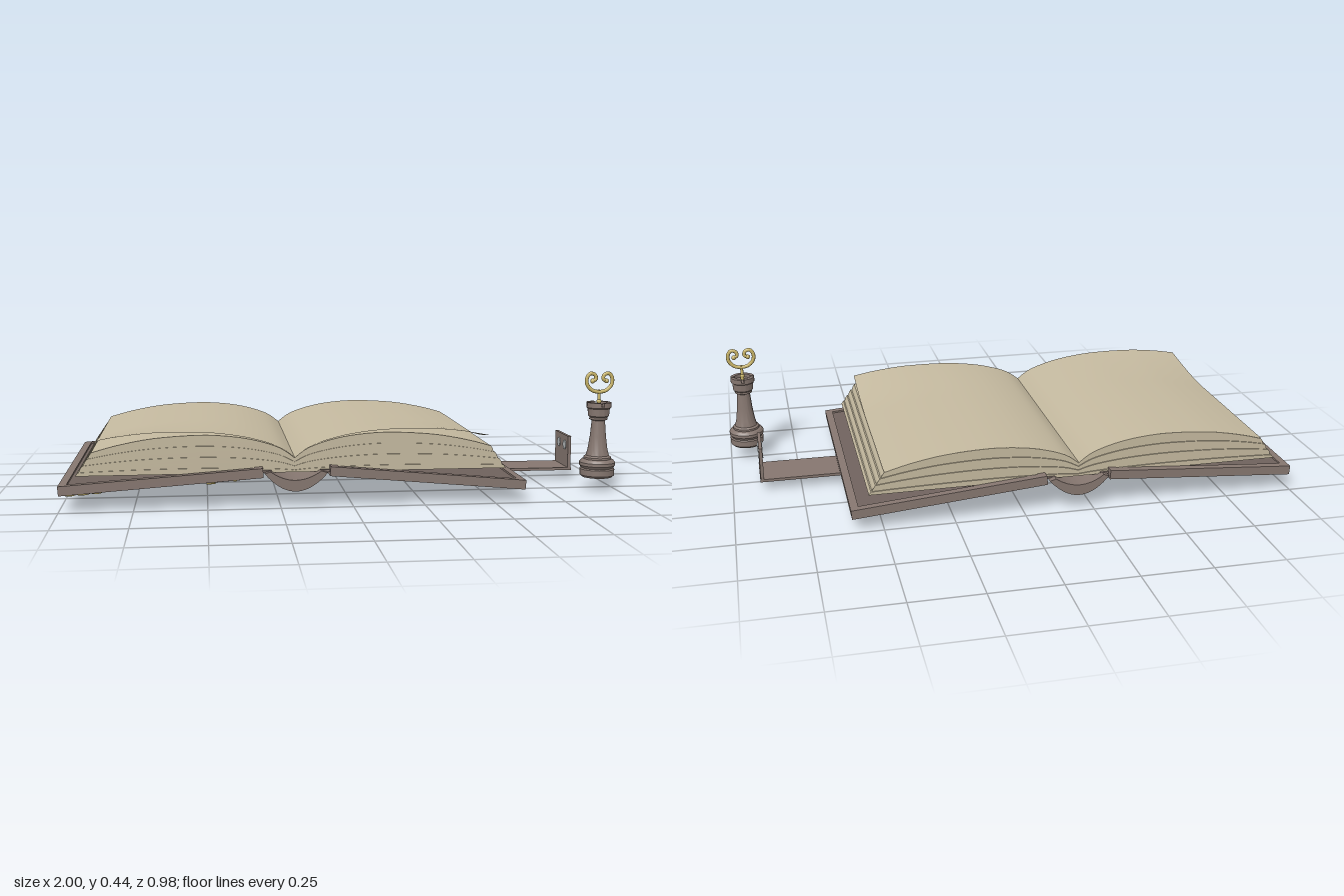
import * as THREE from 'three';
import { toCreasedNormals } from 'three/addons/utils/BufferGeometryUtils.js';

const mat = (color) => new THREE.MeshStandardMaterial({ color, side: THREE.DoubleSide });
const leather = mat(0x85766f), paper = mat(0xc4b99f), darkPanel = mat(0x6f625d);
const gold = mat(0xc8b468), steel = mat(0xb4b8ba), iron = mat(0x83878a);

function add(parent, name, geo, material, x = 0, y = 0, z = 0) {
  const m = new THREE.Mesh(geo, material);
  m.name = name;
  m.position.set(x, y, z);
  parent.add(m);
  return m;
}
const box = (w, h, d) => new THREE.BoxGeometry(w, h, d);
const v2 = (a) => a.map(([x, y]) => new THREE.Vector2(x, y));

// Flat shape laid in the xz plane, its thickness going down from y = 0
function slab(shape, depth) {
  return new THREE.ExtrudeGeometry(shape, { depth, bevelEnabled: false, curveSegments: 20 }).rotateX(Math.PI / 2);
}
function rect(Type, w, d) {
  return new Type(v2([[-w / 2, -d / 2], [w / 2, -d / 2], [w / 2, d / 2], [-w / 2, d / 2]]));
}
function frame(w, d, rim, depth) {
  const s = rect(THREE.Shape, w, d);
  s.holes.push(rect(THREE.Path, w - 2 * rim, d - 2 * rim));
  return slab(s, depth);
}

// Cover board: full-thickness rim around a sunken panel
const T = 0.033;
function cover(name, x, y, tilt, sunk) {
  const g = new THREE.Group();
  g.name = name;
  g.position.set(x, y, 0);
  g.rotation.z = tilt;
  add(g, 'coverRim', frame(0.692, 0.976, 0.028, T), leather, 0, T / 2);
  add(g, 'coverPanel', box(0.64, T - 0.006 - sunk, 0.924), darkPanel, 0, (sunk - 0.006) / 2);
  return g;
}

// Page block: d is the distance from the gutter, t runs from bottom to top
const topCurve = new THREE.SplineCurve(v2([[0, 0.168], [0.05, 0.203], [0.13, 0.23], [0.22, 0.246],
  [0.33, 0.252], [0.48, 0.243], [0.6, 0.222], [0.69, 0.198]]));
function pagePoint(u, t) {
  const p = topCurve.getPoint(u);
  return new THREE.Vector2(p.x * (1 + (1 - t) * 0.08), THREE.MathUtils.lerp(0.118, p.y, t));
}
function pages(side) {
  const g = new THREE.Group();
  g.name = side > 0 ? 'leftPages' : 'rightPages';
  g.position.x = -0.2;
  const layers = 7, n = 28;
  for (let k = 0; k < layers; k++) {
    const pts = [], inset = (k % 2) * 0.004;
    for (let i = 0; i <= n; i++) pts.push(pagePoint(i / n, k / layers));
    for (let i = n; i >= 0; i--) pts.push(pagePoint(i / n, (k + 1) / layers));
    pts.forEach((p) => { p.x = side * Math.min(p.x, pagePoint(1, k / layers).x - inset); });
    const geo = new THREE.ExtrudeGeometry(new THREE.Shape(pts), { depth: 0.91 - 2 * inset, bevelEnabled: false });
    add(g, 'pageLayer', toCreasedNormals(geo, 0.5), paper, 0, 0, -0.459 + inset);
  }
  // Loose top sheet with the front outer corner curling up
  const sheet = new THREE.PlaneGeometry(1, 0.91, 28, 20).rotateX(-Math.PI / 2);
  const pos = sheet.attributes.position;
  for (let i = 0; i < pos.count; i++) {
    const u = pos.getX(i) + 0.5, p = topCurve.getPoint(side > 0 ? u : 1 - u), z = pos.getZ(i);
    const lift = 0.035 * Math.max(0, (z - 0.12) / 0.335) ** 1.5 * (p.x / 0.69) ** 2;
    pos.setXYZ(i, side * p.x, p.y + 0.002 + lift, z);
  }
  sheet.computeVertexNormals();
  add(g, 'topSheet', sheet, paper, 0, 0, -0.004);
  return g;
}

// Toothed ring with spokes and hub, lying on the underside
function gear(name, r, teeth, spokes, depth, material, spokeMat = material) {
  const g = new THREE.Group();
  g.name = name;
  const pts = [], tooth = Math.min(0.03, r * 0.17);
  for (let i = 0; i < teeth; i++) {
    [[0, 0], [0.22, 1], [0.5, 1], [0.72, 0]].forEach(([f, up]) => {
      const a = ((i + f) / teeth) * Math.PI * 2, rr = r - (up ? 0 : tooth);
      pts.push(new THREE.Vector2(Math.cos(a) * rr, Math.sin(a) * rr));
    });
  }
  const s = new THREE.Shape(pts);
  s.holes.push(new THREE.Path().absarc(0, 0, r * 0.64, 0, Math.PI * 2, true));
  add(g, 'gearRing', slab(s, depth), material);
  add(g, 'gearHub', new THREE.CylinderGeometry(r * 0.24, r * 0.24, depth * 1.4, 20), spokeMat, 0, -depth * 0.7);
  for (let i = 0; i < spokes; i++) {
    const a = (i / spokes) * Math.PI * 2 + 0.4;
    const m = add(g, 'gearSpoke', box(r * 0.7, depth * 0.8, r * 0.13), spokeMat,
      Math.cos(a) * r * 0.35, -depth / 2, Math.sin(a) * r * 0.35);
    m.rotation.y = -a;
  }
  return g;
}

// Slotted dome-headed bolt hanging down to -len
function bolt(r, len) {
  const g = new THREE.Group();
  g.name = 'bolt';
  const h = r * 0.65, gap = r * 0.22;
  add(g, 'boltShaft', new THREE.CylinderGeometry(r * 0.5, r * 0.5, len - h, 18), steel, 0, -(len - h) / 2);
  add(g, 'boltFlange', new THREE.CylinderGeometry(r, r, h * 0.3, 24), steel, 0, -len + h * 0.95);
  const prof = v2([[r, 0], [r * 0.92, -0.4 * h], [r * 0.7, -0.72 * h], [r * 0.4, -0.93 * h], [0, -h]]);
  for (const s of [-1, 1]) {
    const half = new THREE.Shape([...prof.map((p) => new THREE.Vector2(p.x, p.y)), new THREE.Vector2(0, 0)]);
    const dome = new THREE.LatheGeometry(half.getPoints(), 16, s > 0 ? -Math.PI / 2 : Math.PI / 2, Math.PI);
    add(g, 'boltHead', dome.scale(1, 1, 1 - gap / r), steel, 0, -len + h, s * gap);
  }
  return g;
}

function mechanism() {
  const g = new THREE.Group();
  g.name = 'mechanism';
  const put = (o, x, z, y = 0) => { o.position.set(x + 0.655, y, z); g.add(o); };
  put(gear('mainGear', 0.235, 26, 4, 0.016, iron, steel), -0.55, -0.015, -0.012);
  put(gear('upperGear', 0.1, 18, 5, 0.012, iron), -0.65, -0.31, -0.006);
  put(gear('edgeGear', 0.09, 12, 3, 0.012, iron), -0.83, -0.19, -0.014);
  put(gear('lowerGear', 0.17, 36, 6, 0.01, iron), -0.75, 0.25);
  put(gear('topGear', 0.1, 20, 4, 0.01, iron), -0.84, 0.265, -0.012);
  put(bolt(0.05, 0.088), -0.55, -0.015);
  put(bolt(0.017, 0.035), -0.84, 0.265);
  put(bolt(0.016, 0.016), -0.39, -0.34);
  put(bolt(0.016, 0.016), -0.4, -0.395);
  // Row of three pins with gold caps
  for (const z of [0.24, 0.31, 0.38]) {
    add(g, 'pin', new THREE.CylinderGeometry(0.009, 0.009, 0.13, 12).rotateZ(Math.PI / 2), steel, 0.225, -0.012, z);
    add(g, 'pinCap', new THREE.CylinderGeometry(0.014, 0.014, 0.03, 12).rotateZ(Math.PI / 2), gold, 0.165, -0.012, z);
    add(g, 'pinBracket', box(0.012, 0.02, 0.035), gold, 0.25, -0.01, z);
  }
  // Scrollwork on the two outer corners
  for (const s of [-1, 1]) {
    const spots = [[0.03, 0.03, 0.016], [0.075, 0.03, 0.018], [0.03, 0.075, 0.018], [0.12, 0.028, 0.014], [0.028, 0.12, 0.014], [0.072, 0.072, 0.016]];
    for (const [x, z, r] of spots) {
      add(g, 'cornerScroll', new THREE.TorusGeometry(r, 0.005, 6, 16, 5).rotateX(Math.PI / 2), gold, -0.34 + x, -0.003, s * (0.48 - z));
    }
  }
  add(g, 'borderLine', frame(0.62, 0.9, 0.004, 0.003), steel);
  return g;
}

// Turned tower piece with battlements and a gold scrolled key bow
function tower() {
  const g = new THREE.Group();
  g.name = 'towerPiece';
  g.position.set(0.935, 0, 0.28);
  const prof = v2([[0, 0.048], [0.055, 0.048], [0.063, 0.056], [0.063, 0.078], [0.058, 0.082], [0.065, 0.092],
    [0.065, 0.103], [0.058, 0.112], [0.05, 0.115], [0.05, 0.122], [0.042, 0.128], [0.036, 0.15], [0.029, 0.2], [0.024, 0.258],
    [0.033, 0.262], [0.033, 0.27], [0.038, 0.275], [0.04, 0.302], [0.045, 0.306], [0.045, 0.312], [0, 0.312]]);
  add(g, 'towerBody', toCreasedNormals(new THREE.LatheGeometry(prof, 36), 0.5), leather);
  for (let i = 0; i < 4; i++) {
    const a = (i * Math.PI) / 2 + 0.12, b = a + Math.PI / 2 - 0.24;
    const s = new THREE.Shape().absarc(0, 0, 0.045, a, b, false).absarc(0, 0, 0.03, b, a, true);
    add(g, 'battlement', slab(s, 0.014), leather, 0, 0.325);
  }
  add(g, 'keyStem', new THREE.CylinderGeometry(0.005, 0.007, 0.06, 12), gold, 0, 0.34);
  add(g, 'keyCollar', new THREE.SphereGeometry(0.009, 12, 8), gold, 0, 0.328);
  for (const s of [-1, 1]) {
    const path = [[0, 0.362], [0.025, 0.368], [0.045, 0.388], [0.048, 0.412], [0.036, 0.43], [0.018, 0.426], [0.014, 0.41], [0.026, 0.403]];
    const curve = new THREE.CatmullRomCurve3(path.map(([x, y]) => new THREE.Vector3(s * x, y, 0)));
    add(g, 'keyScroll', new THREE.TubeGeometry(curve, 40, 0.007, 8), gold);
    add(g, 'scrollTip', new THREE.SphereGeometry(0.009, 10, 8), gold, s * 0.026, 0.403);
  }
  return g;
}

export function createModel() {
  const model = new THREE.Group();
  model.name = 'openBook';

  const back = cover('mechanismCover', -0.655, 0.0985, 0.07, 0.001);
  const mech = mechanism();
  mech.position.y = -T / 2;
  back.add(mech);
  model.add(back, cover('strapCover', 0.265, 0.0935, -0.09, 0.01), pages(1), pages(-1));

  // Curved spine
  const s = new THREE.Shape();
  s.moveTo(-0.305, 0.12).quadraticCurveTo(-0.2, -0.006, -0.088, 0.12);
  s.lineTo(-0.11, 0.127).quadraticCurveTo(-0.2, 0.065, -0.285, 0.127).closePath();
  const spine = new THREE.ExtrudeGeometry(s, { depth: 0.976, bevelEnabled: false, curveSegments: 20 });
  add(model, 'spine', toCreasedNormals(spine, 0.5), leather, 0, 0, -0.488);
  // Hinge strips joining the spine to the boards
  for (const x of [-0.303, -0.09]) add(model, 'hinge', box(0.045, 0.008, 0.93), leather, x, 0.123, 0);

  // Closing strap with upturned plate and two studs
  add(model, 'strap', box(0.31, 0.01, 0.165), leather, 0.745, 0.041, -0.003);
  add(model, 'strapPlate', box(0.012, 0.132, 0.165), leather, 0.892, 0.102, -0.003);
  for (const z of [0.039, -0.035]) {
    add(model, 'stud', new THREE.CylinderGeometry(0.018, 0.018, 0.018, 24).rotateZ(Math.PI / 2), steel, 0.892, 0.13, z);
  }

  model.add(tower());
  // Pages and sheets share the gutter at x = -0.2
  model.getObjectByName('leftPages').name = 'rightHandPages';
  model.getObjectByName('rightPages').name = 'leftHandPages';
  return model;
}
